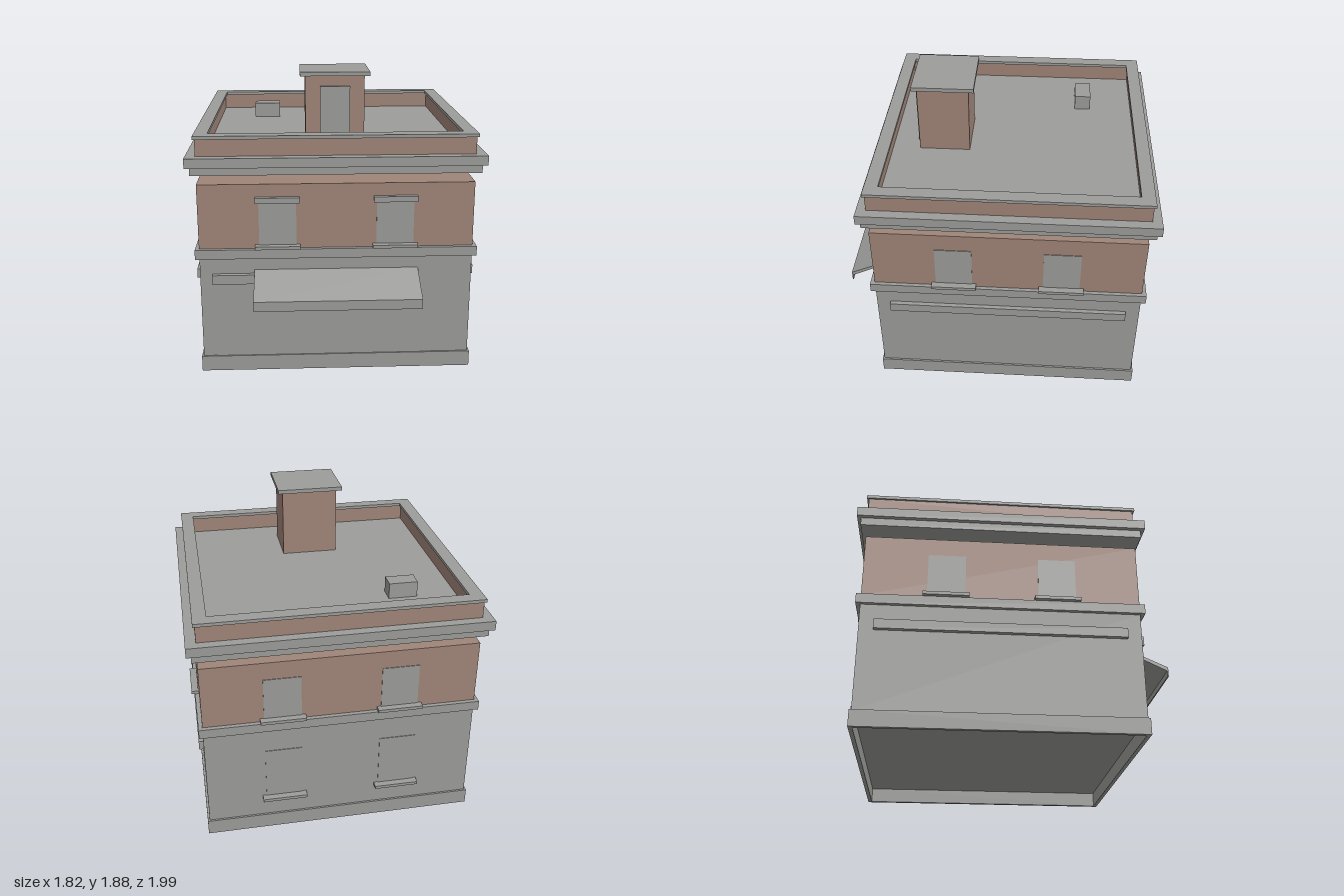
import * as THREE from 'three';

const stone = new THREE.MeshStandardMaterial({ color: 0x9c9c9a });
stone.name = 'grey stone';
const brick = new THREE.MeshStandardMaterial({ color: 0xa08578 });
brick.name = 'dusty brick';

const CZ = -0.09; // middle of the building in z

export function createModel() {
  const model = new THREE.Group();
  model.name = 'building';

  // box given by its low and high limits on each axis
  const box = (name, mat, x0, x1, y0, y1, z0, z1, parent = model) => {
    const mesh = new THREE.Mesh(new THREE.BoxGeometry(x1 - x0, y1 - y0, z1 - z0), mat);
    mesh.position.set((x0 + x1) / 2, (y0 + y1) / 2, (z0 + z1) / 2);
    mesh.name = name;
    parent.add(mesh);
    return mesh;
  };

  // full storey slab centred on the building
  const slab = (name, mat, hx, hz, y0, y1) => box(name, mat, -hx, hx, y0, y1, CZ - hz, CZ + hz);

  // rectangular frame, open in the middle
  const ring = (name, mat, hx, hz, ix, iz, y0, y1) => {
    const rect = (P, a, b) => new P([[-a, -b], [a, -b], [a, b], [-a, b]].map(p => new THREE.Vector2(...p)));
    const shape = rect(THREE.Shape, hx, hz);
    shape.holes.push(rect(THREE.Path, ix, iz));
    const geo = new THREE.ExtrudeGeometry(shape, { depth: y1 - y0, bevelEnabled: false });
    geo.rotateX(-Math.PI / 2);
    const mesh = new THREE.Mesh(geo, mat);
    mesh.position.set(0, y0, CZ);
    mesh.name = name;
    model.add(mesh);
  };

  // storeys
  ring('plinth', stone, 0.86, 0.855, 0.835, 0.83, 0, 0.1);
  slab('groundFloorWall', stone, 0.848, 0.843, 0.095, 0.77);
  slab('beltCourse', stone, 0.872, 0.87, 0.765, 0.825);
  slab('upperFloorWall', brick, 0.848, 0.843, 0.825, 1.235);

  // cornice and flat roof, with a shadow gap below
  slab('lowerCornice', stone, 0.88, 0.878, 1.3, 1.35);
  slab('upperCornice', stone, 0.908, 0.902, 1.35, 1.41);
  ring('parapet', brick, 0.846, 0.843, 0.79, 0.787, 1.41, 1.515);
  ring('parapetCoping', stone, 0.858, 0.855, 0.775, 0.772, 1.515, 1.535);

  // one window, built facing +z with its wall plane at z = 0
  const makeWindow = (y0, y1, lintel) => {
    const g = new THREE.Group();
    g.name = 'window';
    box('windowPane', stone, -0.115, 0.115, y0, y1, -0.002, 0.004, g);
    box('windowSill', stone, -0.14, 0.14, y0 - 0.02, y0, -0.01, 0.045, g);
    if (lintel) box('windowLintel', stone, -0.135, 0.135, y1, y1 + 0.035, -0.01, 0.03, g);
    model.add(g);
    return g;
  };
  for (const s of [-1, 1]) {
    makeWindow(0.848, 1.12, true).position.set(s * 0.362, 0, CZ + 0.843);
    for (const [y0, y1] of [[0.848, 1.12], [0.252, 0.6]]) {
      const back = makeWindow(y0, y1, false);
      back.position.set(s * 0.362, 0, CZ - 0.843);
      back.rotation.y = Math.PI;
    }
    for (const z of [0.247, -0.427]) {
      const side = makeWindow(0.848, 1.12, false);
      side.position.set(s * 0.848, 0, z);
      side.rotation.y = s * Math.PI / 2;
    }
    // long moulding on each side wall
    const x = s * 0.86;
    box('sideMoulding', stone, x - 0.016, x + 0.016, 0.6, 0.66, -0.845, 0.665);
  }

  // shopfront
  box('shopfrontPanel', stone, -0.76, 0.54, 0.1, 0.64, 0.75, 0.757);
  box('shopfrontFascia', stone, -0.77, 0.5, 0.6, 0.66, 0.75, 0.785);

  // sloping awning with a hanging valance
  const profile = new THREE.Shape([
    [0.75, 0.685], [0.75, 0.665], [0.993, 0.548], [0.993, 0.51], [1, 0.51], [1, 0.572],
  ].map(([z, y]) => new THREE.Vector2(-z, y)));
  const awningGeo = new THREE.ExtrudeGeometry(profile, { depth: 1.02, bevelEnabled: false });
  awningGeo.rotateY(Math.PI / 2);
  const awning = new THREE.Mesh(awningGeo, stone);
  awning.position.x = -0.51;
  awning.name = 'awning';
  model.add(awning);

  // roof access hut and vent
  box('roofHut', brick, -0.183, 0.183, 1.41, 1.857, 0.195, 0.52);
  box('roofHutDoor', stone, -0.093, 0.093, 1.41, 1.79, 0.515, 0.54);
  box('roofHutCap', stone, -0.215, 0.215, 1.855, 1.88, 0.16, 0.55);
  box('roofVent', stone, -0.54, -0.36, 1.41, 1.51, -0.595, -0.49);

  return model;
}
